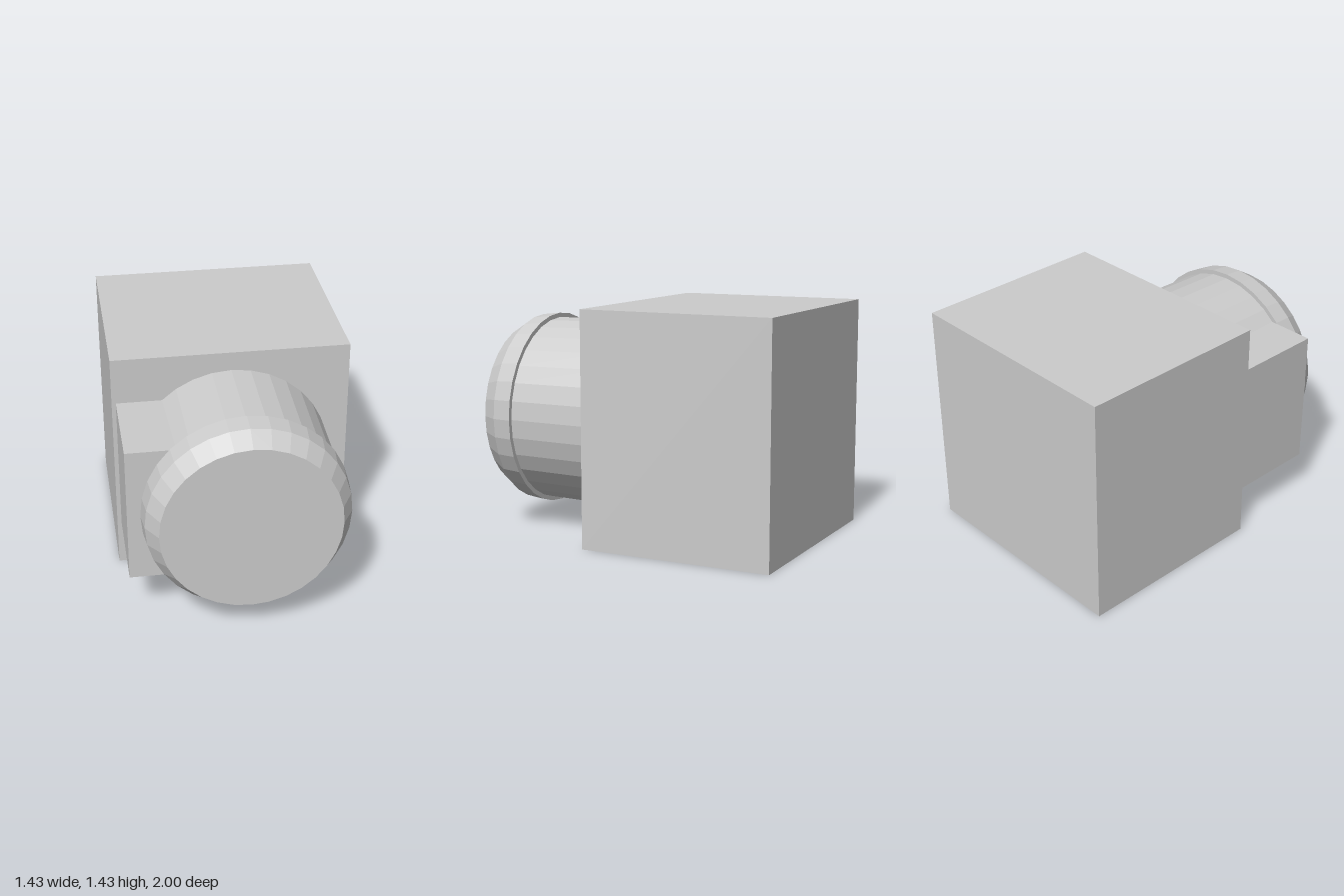
import * as THREE from 'three';

export function createModel() {
  const model = new THREE.Group();
  const grey = new THREE.MeshStandardMaterial({ color: 0xcccccc, flatShading: true });
  grey.name = 'light grey';
  const centreY = 0.715;

  function add(name, geometry, x, y, z) {
    const mesh = new THREE.Mesh(geometry, grey);
    mesh.name = name;
    mesh.position.set(x, y, z);
    model.add(mesh);
    return mesh;
  }

  // Main housing
  add('housing', new THREE.BoxGeometry(1.43, 1.43, 1.2), 0, centreY, -0.4);

  // Side block, running into the barrel
  add('sideBlock', new THREE.BoxGeometry(0.49, 0.855, 0.57), -0.445, centreY + 0.002, 0.485);

  // Tapered barrel with a stepped, chamfered collar and flat front: [radius, z]
  const profile = [
    [0.597, 0.2], [0.585, 0.77], [0.613, 0.77], [0.6, 0.89], [0.53, 1], [0, 1],
  ].map(([r, z]) => new THREE.Vector2(r, z));
  const barrel = add('barrel', new THREE.LatheGeometry(profile, 32), 0, centreY + 0.002, 0);
  barrel.rotation.x = Math.PI / 2;

  return model;
}
